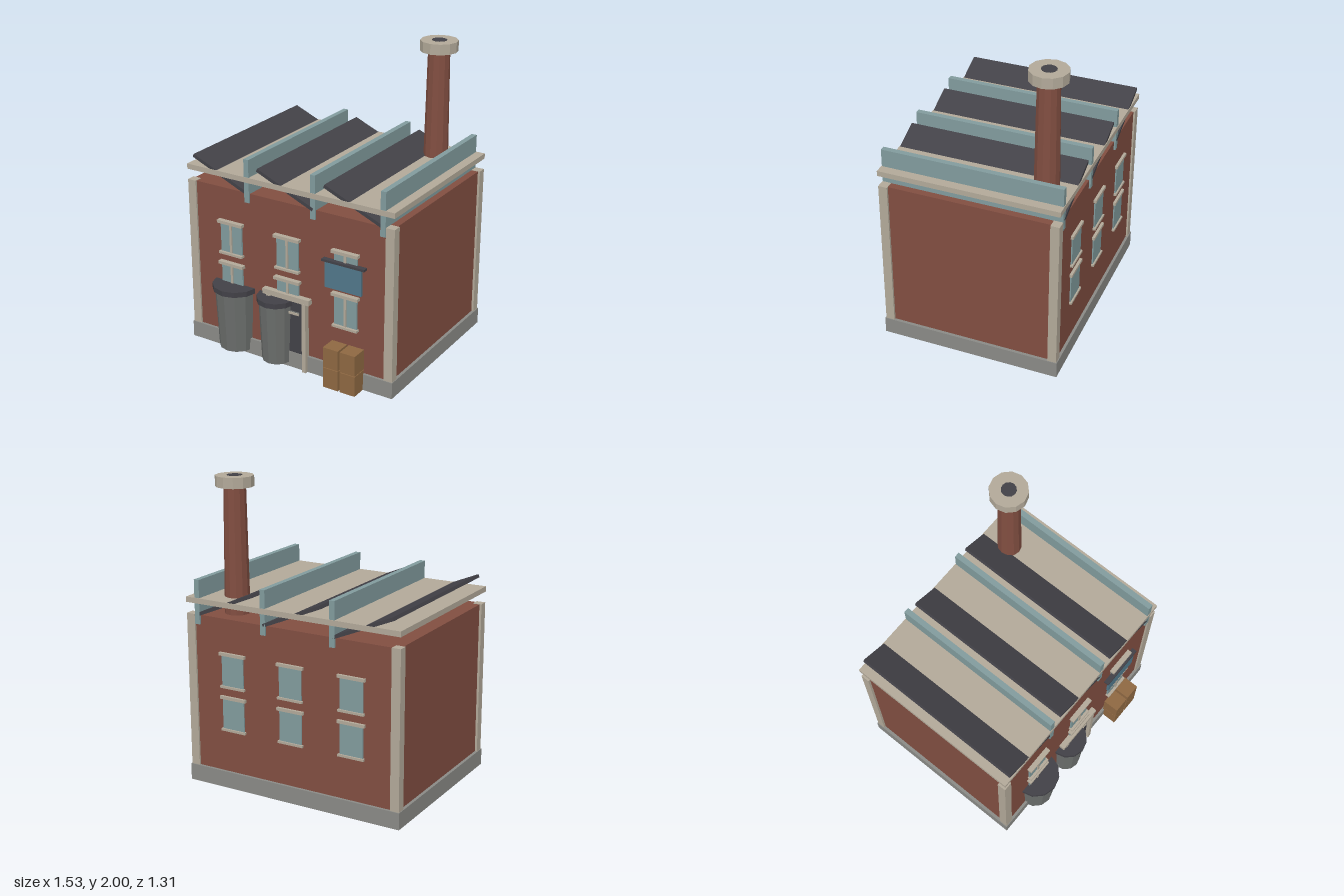
import * as THREE from 'three';

const mat = (name, color, flatShading = false) => {
  const m = new THREE.MeshStandardMaterial({ color, flatShading });
  m.name = name;
  return m;
};

export function createModel() {
  const M = {
    brick: mat('brick', 0x814e41),
    stone: mat('stone', 0xb2a999),
    concrete: mat('concrete', 0x8a8a86),
    slate: mat('slate', 0x424147),
    glass: mat('glass', 0x819b9d),
    board: mat('boardBlue', 0x51778a),
    metal: mat('metal', 0x6a6d6b),
    crate: mat('crateWood', 0x8e6842),
  };
  for (const k in M) M[k].flatShading = true;

  const root = new THREE.Group();
  root.name = 'factory';

  // Box given by its extents on each axis
  const box = (name, m, x0, x1, y0, y1, z0, z1, parent = root) => {
    const mesh = new THREE.Mesh(new THREE.BoxGeometry(x1 - x0, y1 - y0, z1 - z0), m);
    mesh.position.set((x0 + x1) / 2, (y0 + y1) / 2, (z0 + z1) / 2);
    mesh.name = name;
    parent.add(mesh);
    return mesh;
  };
  // Twelve-sided upright cylinder from y0 to y1
  const drum = (name, m, x, z, rTop, rBottom, y0, y1, parent = root) => {
    const mesh = new THREE.Mesh(new THREE.CylinderGeometry(rTop, rBottom, y1 - y0, 12), m);
    mesh.position.set(x, (y0 + y1) / 2, z);
    mesh.name = name;
    parent.add(mesh);
    return mesh;
  };

  const back = -0.65, front = 0.522;

  // Main body
  box('base', M.concrete, -0.765, 0.765, 0, 0.11, back - 0.006, front + 0.006);
  box('brickWalls', M.brick, -0.745, 0.745, 0.11, 1.125, back + 0.012, front - 0.012);
  for (const x of [-0.73, 0.73])
    for (const z of [back + 0.029, front - 0.029])
      box('cornerPost', M.stone, x - 0.03, x + 0.03, 0.11, 1.128, z - 0.029, z + 0.029);

  // Sawtooth roof: flat slab, upright glazing and sloping panels
  box('roofSlab', M.stone, -0.76, 0.76, 1.2, 1.235, back - 0.004, front + 0.003);
  for (const x of [-0.3, 0.19, 0.68]) {
    box('roofGlazing', M.glass, x - 0.018, x + 0.018, 1.065, 1.352, back, front);
    const panel = box('roofPanel', M.slate, -0.222, 0.222, -0.011, 0.011, back, front);
    panel.position.x = x - 0.205;
    panel.position.y = 1.213;
    panel.rotation.z = -0.4;
  }

  // Chimney
  const chimney = new THREE.Group();
  chimney.name = 'chimney';
  root.add(chimney);
  drum('chimneyStack', M.brick, 0.497, -0.47, 0.07, 0.097, -0.001, 1.93, chimney);
  drum('chimneyCap', M.stone, 0.497, -0.47, 0.121, 0.121, 1.93, 1.998, chimney);
  drum('chimneyOpening', M.slate, 0.497, -0.47, 0.048, 0.048, 1.96, 2.0, chimney);

  // Windows: built facing +z, the rear ones turned round
  const addWindow = (x, y, z, rear) => {
    const w = new THREE.Group();
    w.name = rear ? 'rearWindow' : 'frontWindow';
    if (rear) {
      box('pane', M.glass, -0.08, 0.08, 0.015, 0.215, -0.005, 0.008, w);
    } else {
      for (const s of [-1, 1])
        box('pane', M.glass, s * 0.0445 - 0.0365, s * 0.0445 + 0.0365, 0.015, 0.215, -0.005, 0.012, w);
      box('mullion', M.stone, -0.008, 0.008, 0.015, 0.215, -0.005, 0.02, w);
    }
    box('lintel', M.stone, -0.095, 0.095, 0.213, 0.233, -0.005, rear ? 0.018 : 0.033, w);
    box('sill', M.stone, -0.09, 0.09, 0, 0.015, -0.005, rear ? 0.018 : 0.03, w);
    w.position.set(x, y, z);
    if (rear) w.rotation.y = Math.PI;
    root.add(w);
  };
  for (const x of [-0.43, 0, 0.425])
    for (const y of [0.387, 0.674]) {
      addWindow(x, y, front - 0.012, false);
      addWindow(x, y, back + 0.012, true);
    }

  // Hanging board over one window
  box('board', M.board, 0.29, 0.55, 0.65, 0.825, 0.53, 0.546);
  box('boardRail', M.slate, 0.268, 0.572, 0.82, 0.835, 0.515, 0.55);

  // Doorway with posts, canopy and handle
  box('door', M.slate, -0.122, 0.122, 0.11, 0.48, 0.505, 0.524);
  box('doorHandle', M.metal, 0.02, 0.09, 0.388, 0.404, 0.52, 0.534);
  for (const x of [-0.134, 0.134])
    box('doorPost', M.stone, x - 0.014, x + 0.014, 0, 0.485, 0.51, 0.55);
  box('doorCanopy', M.stone, -0.178, 0.172, 0.482, 0.518, 0.51, 0.548);

  // Lidded storage drums
  for (const [x, z, r] of [[-0.416, 0.5, 0.157], [-0.092, 0.514, 0.129]]) {
    drum('drumBody', M.metal, x, z, r * 0.9, r * 0.78, 0.03, 0.445);
    drum('drumLid', M.slate, x, z, r, r, 0.44, 0.475);
  }

  // Stacked crates
  for (const x of [0.382, 0.504])
    for (const y of [0, 0.142])
      box('crate', M.crate, x - 0.054, x + 0.054, y, y + 0.137, 0.518, 0.627);

  return root;
}
